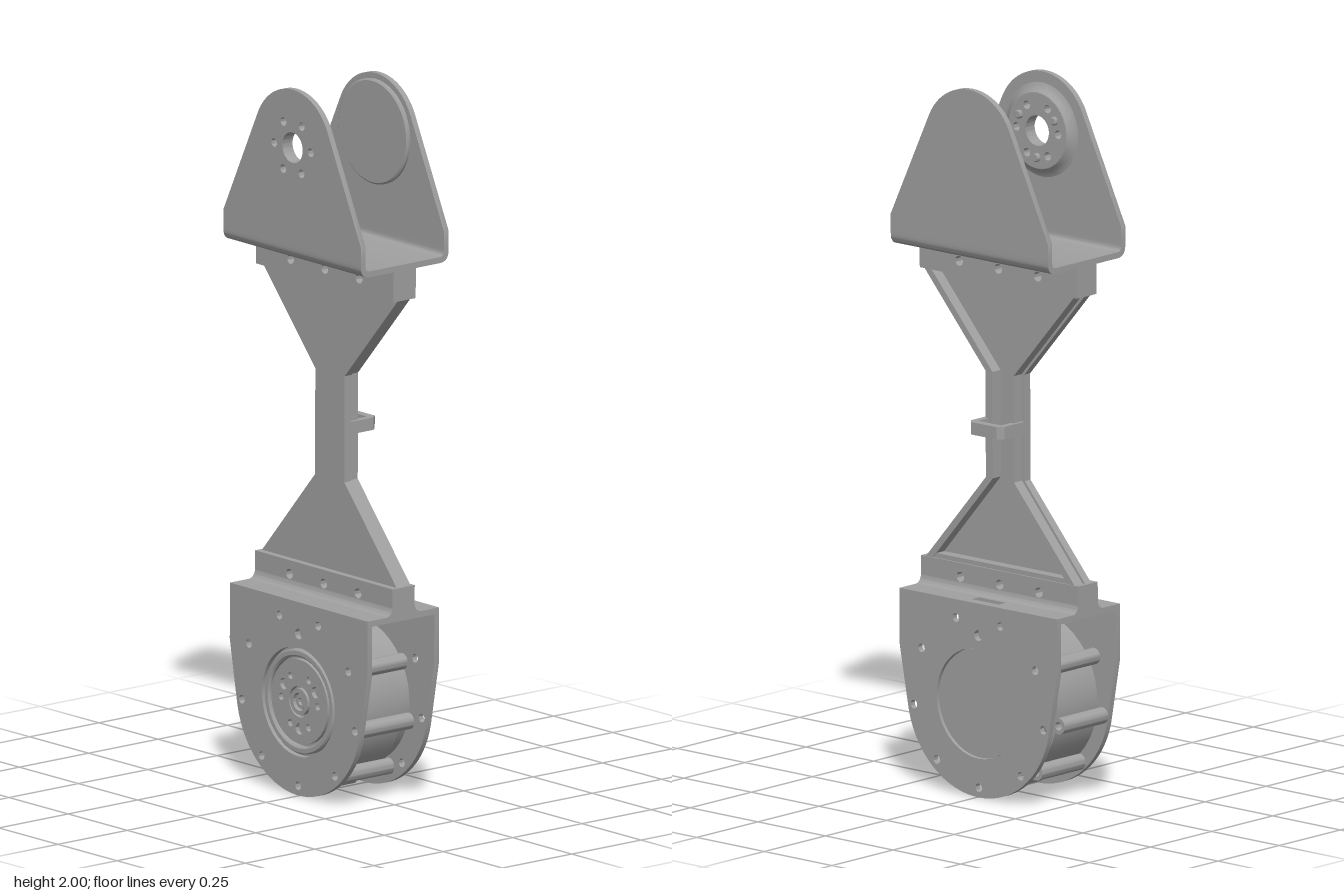
import * as THREE from 'three';
import { toCreasedNormals } from 'three/addons/utils/BufferGeometryUtils.js';

const grey = new THREE.MeshStandardMaterial({ color: 0xa0a0a0 });
grey.name = 'plain grey';

const HUB_Y = 0.265;   // lower drive axis
const PIVOT_Y = 1.836; // upper pivot axis
const HALF = 0.291;    // half width of the wide parts

function add(parent, name, geometry) {
  const mesh = new THREE.Mesh(geometry, grey);
  mesh.name = name;
  parent.add(mesh);
  return mesh;
}

function polygon(points) {
  return new THREE.Shape(points.map(([x, y]) => new THREE.Vector2(x, y)));
}

function disc(x, y, r) {
  const s = new THREE.Shape();
  s.absarc(x, y, r, 0, Math.PI * 2, false);
  return s;
}

// holes are [x, y, radius]
function punch(shape, holes) {
  for (const [x, y, r] of holes) {
    const h = new THREE.Path();
    h.absarc(x, y, r, 0, Math.PI * 2, true);
    shape.holes.push(h);
  }
  return shape;
}

function slab(shape, z0, z1, curveSegments = 24) {
  const g = new THREE.ExtrudeGeometry(shape, { depth: z1 - z0, bevelEnabled: false, curveSegments });
  g.translate(0, 0, z0);
  return toCreasedNormals(g, 0.6);
}

// extrudes a (-z, y) profile across the width
function across(shape) {
  return slab(shape, -HALF, HALF, 8).rotateY(Math.PI / 2);
}

// spins [radius, z] points about the z axis at height y
function turned(points, y) {
  const g = new THREE.LatheGeometry(points.map(([r, z]) => new THREE.Vector2(r, z)), 48);
  return toCreasedNormals(g.rotateX(Math.PI / 2).translate(0, y, 0), 0.5);
}

function ringHoles(y, radius, r, count, start = 0) {
  return Array.from({ length: count }, (_, i) => {
    const a = start + (i * Math.PI * 2) / count;
    return [radius * Math.cos(a), y + radius * Math.sin(a), r];
  });
}

const screwRow = (y) => [-0.145, 0, 0.145].map((x) => [x, y, 0.014]);

function rect(x0, y0, x1, y1) {
  return polygon([[x0, y0], [x1, y0], [x1, y1], [x0, y1]]);
}

// upper fork: U-shaped floor with two tapered cheeks
function buildFork(root) {
  const fork = new THREE.Group();
  fork.name = 'upperFork';
  root.add(fork);

  const o = 0.158, t = 0.017, r = 0.032, y0 = 1.52, y1 = 1.565;
  const u = new THREE.Shape();
  u.moveTo(-o, y1);
  u.lineTo(-o, y0 + r);
  u.quadraticCurveTo(-o, y0, -o + r, y0);
  u.lineTo(o - r, y0);
  u.quadraticCurveTo(o, y0, o, y0 + r);
  u.lineTo(o, y1);
  u.lineTo(o - t, y1);
  u.lineTo(o - t, y0 + r);
  u.quadraticCurveTo(o - t, y0 + t, o - r, y0 + t);
  u.lineTo(-o + r, y0 + t);
  u.quadraticCurveTo(-o + t, y0 + t, -o + t, y0 + r);
  u.lineTo(-o + t, y1);
  add(fork, 'forkFloor', across(u));

  const cheek = () => {
    const s = new THREE.Shape();
    s.moveTo(-HALF, y1);
    s.lineTo(HALF, y1);
    s.lineTo(HALF, 1.607);
    s.absarc(0, PIVOT_Y, 0.164, 0.44, Math.PI - 0.44, false);
    s.lineTo(-HALF, 1.607);
    return s;
  };
  const pivotHoles = [[0, PIVOT_Y, 0.043], ...ringHoles(PIVOT_Y, 0.077, 0.012, 6)];
  add(fork, 'frontCheek', slab(punch(cheek(), pivotHoles), o - t, o));
  add(fork, 'backCheek', slab(cheek(), -o, -o + t));
  add(fork, 'backPad', turned([[0, -o + t], [0.148, -o + t], [0.148, -0.134], [0.143, -0.13], [0, -0.13]], PIVOT_Y));

  // flared boss with small pins on the inside of the front cheek
  add(fork, 'pivotBoss', slab(punch(disc(0, PIVOT_Y, 0.106), pivotHoles), 0.121, 0.142));
  const flare = [[0.104, 0.121], [0.108, 0.122], [0.116, 0.132], [0.124, 0.138], [0.136, 0.142]];
  add(fork, 'bossFlare', turned(flare, PIVOT_Y)).material = grey;
  for (const [x, y] of ringHoles(PIVOT_Y, 0.075, 0, 3, Math.PI / 6)) {
    add(fork, 'bossPin', turned([[0, 0.111], [0.009, 0.111], [0.012, 0.114], [0.012, 0.122]], y).translate(x, 0, 0));
  }

  add(fork, 'upperClampBlock', slab(punch(rect(-HALF, 1.435, HALF, 1.522), screwRow(1.475)), -0.04, 0.04));
}

// waisted link plate with rails on its back
function buildLink(root) {
  const link = new THREE.Group();
  link.name = 'link';
  root.add(link);
  const edge = [[0.288, 0.62], [0.062, 0.88], [0.062, 1.18], [0.288, 1.437]];
  const mirror = (pts) => pts.map(([x, y]) => [-x, y]).reverse();
  add(link, 'linkPlate', slab(polygon([...edge, ...mirror(edge)]), -0.004, 0.02));

  const inset = (d) => edge.map(([x, y]) => [x - d, y]);
  for (const side of [1, -1]) {
    const pts = [...inset(0.01), ...inset(0.036).reverse()].map(([x, y]) => [x * side, y]);
    add(link, 'rail', slab(polygon(pts), -0.037, 0));
  }
  add(link, 'baseLip', slab(rect(-0.25, 0.62, 0.25, 0.637), -0.035, 0));

  // cable loop behind the waist, drawn in plan with z as the second axis
  const loop = polygon([[-0.062, 0], [-0.062, -0.085], [-0.047, -0.102], [0.047, -0.102], [0.062, -0.085],
    [0.062, 0], [0.042, 0], [0.042, -0.078], [-0.042, -0.078], [-0.042, 0]]);
  add(link, 'cableLoop', slab(loop, -1.047, -1.012).rotateX(Math.PI / 2));
}

// lower housing: two shaped plates joined by a roof, with a drive between
function buildHousing(root) {
  const housing = new THREE.Group();
  housing.name = 'lowerHousing';
  root.add(housing);

  const plate = () => {
    const s = new THREE.Shape();
    s.moveTo(HALF, 0.547);
    s.lineTo(-HALF, 0.547);
    s.lineTo(-HALF, 0.39);
    s.absarc(0, HUB_Y, 0.264, Math.PI + 0.17, Math.PI * 2 - 0.17, false);
    s.lineTo(HALF, 0.39);
    return s;
  };
  const posts = [[0, 0.028]];
  for (const s of [1, -1]) posts.push([s * 0.082, 0.495], [s * 0.21, 0.39], [s * 0.239, 0.227], [s * 0.155, 0.084]);
  const plateHoles = [...posts.map(([x, y]) => [x, y, 0.012]), [0, 0.457, 0.015]];

  add(housing, 'frontPlate', slab(punch(plate(), [...plateHoles, [0, HUB_Y, 0.154]]), 0.113, 0.13));
  add(housing, 'backPlate', slab(punch(plate(), [...plateHoles, [0, HUB_Y, 0.155]]), -0.128, -0.111));

  // roof in plan, with a slot behind the block
  const roof = rect(-HALF, -0.112, HALF, 0.114);
  roof.holes.push(rect(-0.05, -0.098, 0.05, -0.07));
  add(housing, 'roof', slab(roof, -0.547, -0.53).rotateX(Math.PI / 2));

  add(housing, 'lowerClampBlock', slab(punch(rect(-HALF, 0.545, HALF, 0.624), screwRow(0.585)), -0.04, 0.04));
  for (const s of [1, -1]) {
    const f = new THREE.Shape();
    f.moveTo(s * 0.038, 0.57);
    f.lineTo(s * 0.04, 0.57);
    f.quadraticCurveTo(s * 0.042, 0.548, s * 0.066, 0.546);
    f.lineTo(s * 0.038, 0.546);
    add(housing, 'blockFillet', across(f));
  }

  // drive body, rear step and hollow posts
  add(housing, 'driveBody', turned([[0, -0.05], [0.222, -0.05], [0.222, 0.113], [0, 0.113]], HUB_Y));
  add(housing, 'driveRear', turned([[0, -0.12], [0.153, -0.12], [0.153, -0.1], [0.2, -0.1], [0.2, -0.05]], HUB_Y));
  for (const [x, y] of posts) {
    add(housing, 'post', slab(punch(disc(x, y, 0.023), [[x, y, 0.012]]), -0.065, 0.114, 12));
  }

  // output hub set into the front plate
  add(housing, 'hubRing', turned([[0.126, 0.112], [0.147, 0.112], [0.147, 0.125], [0.143, 0.129],
    [0.131, 0.129], [0.126, 0.125], [0.126, 0.112]], HUB_Y));
  const hubHoles = [
    ...ringHoles(HUB_Y, 0.077, 0.016, 3, Math.PI / 6),
    ...ringHoles(HUB_Y, 0.077, 0.01, 6),
    [0, HUB_Y, 0.044],
  ];
  add(housing, 'hubFace', slab(punch(disc(0, HUB_Y, 0.119), hubHoles), 0.112, 0.126));
  add(housing, 'hubCollar', slab(punch(disc(0, HUB_Y, 0.037), [[0, HUB_Y, 0.025]]), 0.112, 0.128));
  add(housing, 'hubScrew', slab(punch(disc(0, HUB_Y, 0.02), [[0, HUB_Y, 0.01]]), 0.112, 0.122));
}

export function createModel() {
  const model = new THREE.Group();
  model.name = 'jointedLimb';
  // the limb leans very slightly about its middle
  const limb = new THREE.Group();
  limb.name = 'limb';
  buildFork(limb);
  buildLink(limb);
  buildHousing(limb);
  limb.children.forEach((part) => { part.position.y = -1; });
  limb.position.y = 1;
  limb.rotation.z = -0.005;
  model.add(limb);
  return model;
}
